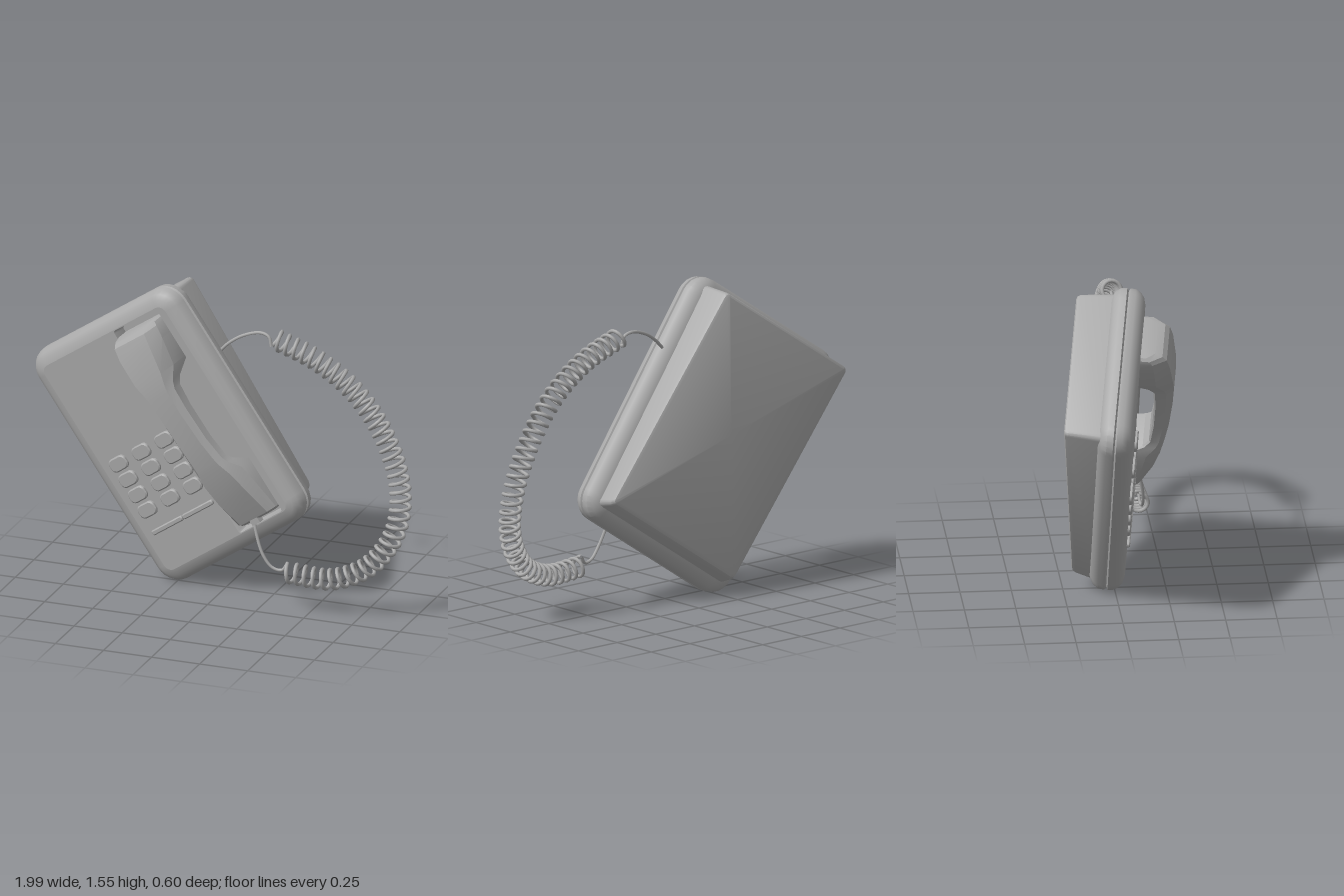
import * as THREE from 'three';
import { toCreasedNormals } from 'three/addons/utils/BufferGeometryUtils.js';

const V = (x, y, z) => new THREE.Vector3(x, y, z);

// Skin a list of matching rings; optional fan caps close the first and last one.
function loft(rings, capStart = true, capEnd = true, crease = 0.55) {
  const n = rings[0].length, pos = [], idx = [];
  rings.forEach(r => r.forEach(p => pos.push(p.x, p.y, p.z)));
  for (let k = 0; k < rings.length - 1; k++) {
    for (let i = 0; i < n; i++) {
      const a = k * n + i, b = k * n + (i + 1) % n;
      idx.push(a, b, b + n, a, b + n, a + n);
    }
  }
  const cap = (k, flip) => {
    const c = rings[k].reduce((s, p) => s.add(p), V(0, 0, 0)).divideScalar(n);
    const ci = pos.length / 3;
    pos.push(c.x, c.y, c.z);
    for (let i = 0; i < n; i++) {
      const a = k * n + i, b = k * n + (i + 1) % n;
      if (flip) idx.push(ci, b, a); else idx.push(ci, a, b);
    }
  };
  if (capStart) cap(0, true);
  if (capEnd) cap(rings.length - 1, false);
  const g = new THREE.BufferGeometry();
  g.setAttribute('position', new THREE.Float32BufferAttribute(pos, 3));
  g.setIndex(idx);
  return toCreasedNormals(g, crease);
}

// Counter-clockwise rounded rectangle; depth is a number or a rule of y.
function roundRing(x0, x1, y0, y1, r, depth, steps = 6) {
  const pts = [];
  const centres = [[x1 - r, y1 - r], [x0 + r, y1 - r], [x0 + r, y0 + r], [x1 - r, y0 + r]];
  centres.forEach(([cx, cy], q) => {
    for (let i = 0; i <= steps; i++) {
      const a = (q + i / steps) * Math.PI / 2;
      const x = cx + r * Math.cos(a), y = cy + r * Math.sin(a);
      pts.push(V(x, y, typeof depth === 'function' ? depth(y) : depth));
    }
  });
  return pts;
}

// Helix wound round a centre line.
class Coil extends THREE.Curve {
  constructor(path, turns, radius) {
    super();
    Object.assign(this, { path, turns, radius });
  }
  getPoint(t, target = V(0, 0, 0)) {
    const p = this.path.getPointAt(t), d = this.path.getTangentAt(t);
    const n = d.clone().cross(V(0, 0, 1)).normalize(), b = d.clone().cross(n);
    const a = t * this.turns * Math.PI * 2;
    return target.copy(p).addScaledVector(n, this.radius * Math.cos(a)).addScaledVector(b, this.radius * Math.sin(a));
  }
}

export function createModel() {
  const grey = new THREE.MeshStandardMaterial({ color: 0xaaaaaa });
  grey.name = 'grey plastic';
  const model = new THREE.Group();
  model.name = 'deskTelephone';
  const add = (parent, name, geometry) => {
    const m = new THREE.Mesh(geometry, grey);
    m.name = name;
    parent.add(m);
    return m;
  };

  // Tilted body frame: x across, y along, z out of the front
  const body = new THREE.Group();
  body.name = 'body';
  const u = V(0.81, 0.567, 0.145).normalize();
  const w = u.clone().cross(V(-0.575, 0.818, -0.015)).normalize();
  const v = w.clone().cross(u);
  body.quaternion.setFromRotationMatrix(new THREE.Matrix4().makeBasis(u, v, w));
  body.position.set(-0.27, 0.785, 0.015);
  model.add(body);

  // Front and rear shells meeting at a shallow seam
  const HU = 0.49, HV = 0.66, FACE = 0.085;
  const shell = ([z, inset]) =>
    roundRing(-HU + inset, HU - inset, -HV + inset, HV - inset, 0.115 - inset, z);
  add(body, 'frontShell', loft(
    [[0, 0.014], [0.008, 0], [0.035, 0.003], [0.06, 0.018], [0.077, 0.042], [FACE, 0.075]].map(shell), false, false));
  add(body, 'rearShell', loft(
    [[-0.085, 0.06], [-0.065, 0.022], [-0.04, 0.004], [-0.008, 0], [0, 0.014]].map(shell), true, false));

  // Face plate with the opening for the handset cradle
  const R = { x0: 0.08, x1: 0.375, y0: -0.58, y1: 0.58 };
  const flat = pts => pts.map(p => new THREE.Vector2(p.x, p.y));
  const face = new THREE.Shape(flat(shell([FACE, 0.075])));
  face.holes.push(new THREE.Path(flat(roundRing(R.x0, R.x1, R.y0, R.y1, 0.012, 0, 2).reverse())));
  add(body, 'facePlate', new THREE.ShapeGeometry(face).translate(0, 0, FACE));
  const cradleRing = (z, s) => roundRing(R.x0 + s, R.x1 - s, R.y0 + s, R.y1 - s, 0.012, z, 2);
  add(body, 'handsetCradle', loft([cradleRing(FACE, 0), cradleRing(0.012, 0.008)], false, true));

  // Wedge-shaped base, deeper toward the top
  const back = off => y => -0.212 - 0.0664 * y + off;
  add(body, 'wedgeBase', loft([
    roundRing(-0.4, 0.4, -0.54, 0.59, 0.012, back(0), 3),
    roundRing(-0.413, 0.413, -0.558, 0.6, 0.02, back(0.006), 3),
    roundRing(-0.42, 0.42, -0.57, 0.606, 0.022, back(0.022), 3),
    roundRing(-0.437, 0.437, -0.6, 0.615, 0.03, -0.05, 3),
  ], true, false));

  // Keypad: three columns by four rows
  const keys = new THREE.Group();
  keys.name = 'keypad';
  body.add(keys);
  const keyGeo = loft([
    roundRing(-0.054, 0.054, -0.036, 0.036, 0.028, 0, 4),
    roundRing(-0.054, 0.054, -0.036, 0.036, 0.028, 0.011, 4),
    roundRing(-0.048, 0.048, -0.03, 0.03, 0.024, 0.016, 4),
  ], false, true);
  for (let c = 0; c < 3; c++) {
    for (let r = 0; r < 4; r++) {
      add(keys, 'key', keyGeo).position.set(-0.315 + c * 0.156, -0.002 - r * 0.088, FACE - 0.001);
    }
  }

  // Slim bar under the keypad, in two halves
  for (const [x0, x1] of [[-0.365, -0.158], [-0.154, 0.05]]) {
    add(body, 'trimBar', loft([
      roundRing(x0, x1, -0.393, -0.367, 0.01, FACE - 0.002, 3),
      roundRing(x0, x1, -0.393, -0.367, 0.01, FACE + 0.011, 3),
      roundRing(x0 + 0.005, x1 - 0.005, -0.388, -0.372, 0.005, FACE + 0.016, 3),
    ], false, true));
  }

  // Handset: stations along y of [y, half width, underside, top]
  const stations = [
    [-0.556, 0.115, 0.03, 0.095], [-0.545, 0.127, 0.018, 0.118], [-0.4, 0.13, 0.018, 0.175],
    [-0.29, 0.122, 0.018, 0.205], [-0.235, 0.102, 0.12, 0.217], [-0.2, 0.092, 0.148, 0.224],
    [-0.08, 0.084, 0.16, 0.24], [0.1, 0.084, 0.163, 0.252], [0.21, 0.088, 0.155, 0.254],
    [0.25, 0.098, 0.125, 0.253], [0.31, 0.122, 0.018, 0.249], [0.45, 0.14, 0.018, 0.23],
    [0.515, 0.14, 0.018, 0.212], [0.535, 0.134, 0.02, 0.19], [0.545, 0.12, 0.03, 0.155],
  ];
  const handset = add(body, 'handset', loft(stations.map(([y, h, lo, hi]) => {
    const c = (hi - lo) * 0.35, t = h * 0.72;
    return [V(-t, y, hi), V(t, y, hi), V(h, y, hi - c), V(h, y, lo + 0.008), V(h - 0.01, y, lo),
      V(-h + 0.01, y, lo), V(-h, y, lo + 0.008), V(-h, y, hi - c)];
  }), true, true, 0.4));
  handset.position.x = 0.228;

  // Plug where the cord enters the handset
  add(body, 'cordPlug', new THREE.BoxGeometry(0.05, 0.05, 0.035)).position.set(0.222, -0.55, 0.1);

  // Coiled cord with a plain lead at each end
  const path = new THREE.CatmullRomCurve3([
    V(0.265, 1.355, 0.035), V(0.49, 1.27, 0.035), V(0.69, 1.128, 0.035), V(0.845, 0.915, 0.04),
    V(0.928, 0.675, 0.06), V(0.915, 0.46, 0.095), V(0.8, 0.285, 0.135), V(0.62, 0.2, 0.165), V(0.385, 0.205, 0.175),
  ]);
  const coil = new Coil(path, 42, 0.047);
  const WIRE = 0.0095;
  const cord = new THREE.Group();
  cord.name = 'cord';
  model.add(cord);
  add(cord, 'coil', new THREE.TubeGeometry(coil, 42 * 18, WIRE, 7));
  const lead = (name, pts) =>
    add(cord, name, new THREE.TubeGeometry(new THREE.CatmullRomCurve3(pts), 32, WIRE * 0.85, 7));
  lead('bodyLead', [V(-0.02, 1.25, 0.035), V(0.03, 1.3, 0.035), V(0.1, 1.345, 0.03), V(0.19, 1.37, 0.025),
    V(0.235, 1.355, 0.03), coil.getPoint(0)]);
  lead('handsetLead', [V(0.195, 0.49, 0.145), V(0.215, 0.41, 0.165), V(0.26, 0.29, 0.185), V(0.31, 0.225, 0.185),
    V(0.36, 0.215, 0.18), coil.getPoint(1)]);

  return model;
}
